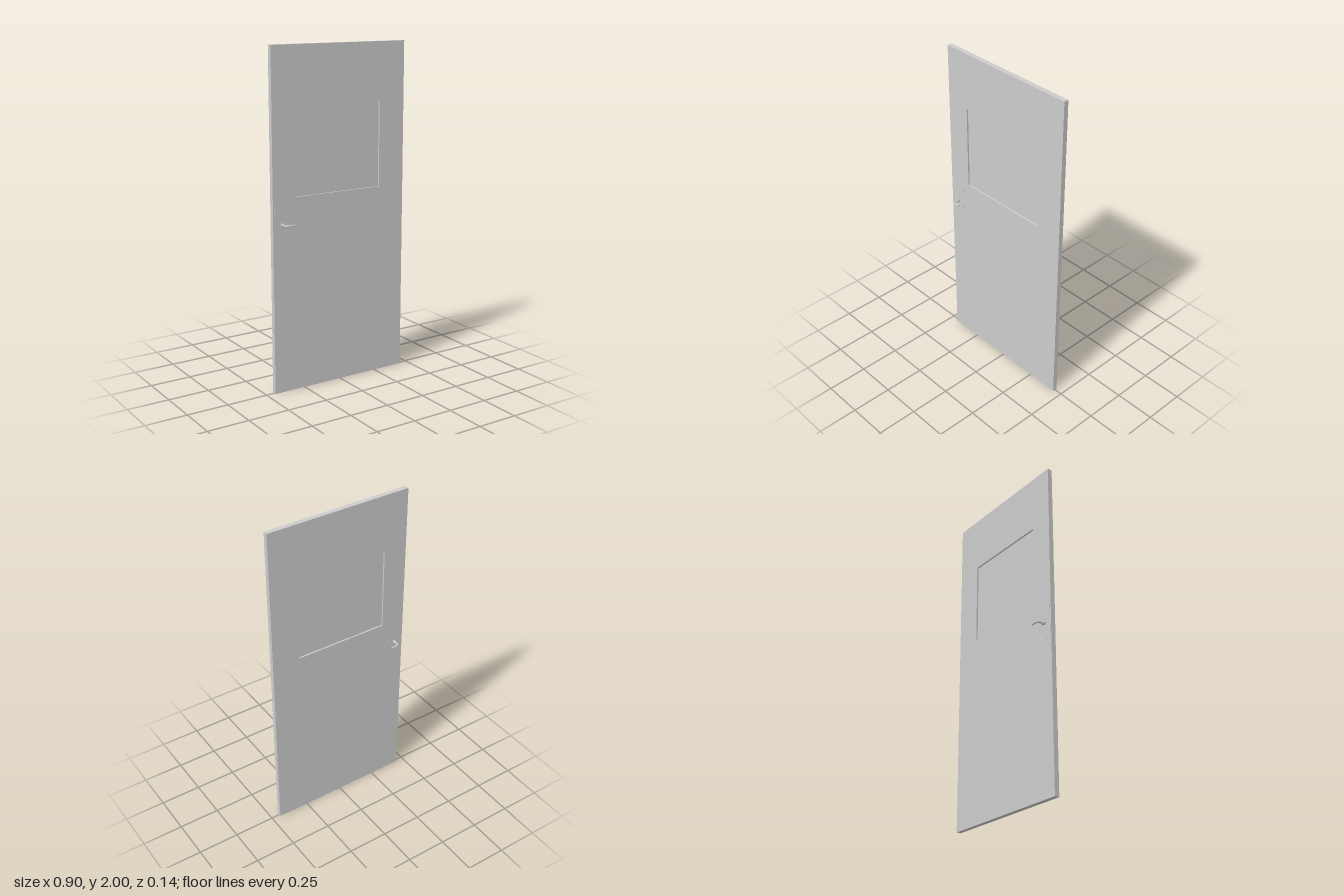
import * as THREE from 'three';

const W = 0.896, H = 2, T = 0.029;
const HANDLE_X = -0.39, HANDLE_Y = 1;

export function createModel() {
  const door = new THREE.Group();
  door.name = 'door';
  const grey = new THREE.MeshStandardMaterial({ color: 0xcccccc });

  const add = (parent, name, geometry, x = 0, y = 0, z = 0) => {
    const mesh = new THREE.Mesh(geometry, grey);
    mesh.name = name;
    mesh.position.set(x, y, z);
    parent.add(mesh);
    return mesh;
  };

  const rect = (Type, x0, y0, x1, y1) => new Type([
    new THREE.Vector2(x0, y0), new THREE.Vector2(x1, y0),
    new THREE.Vector2(x1, y1), new THREE.Vector2(x0, y1),
  ]);

  // Door leaf with the window opening cut through
  const win = { x0: -0.30, x1: 0.275, y0: 1.15, y1: 1.657 };
  const leaf = rect(THREE.Shape, -W / 2, 0, W / 2, H);
  leaf.holes.push(rect(THREE.Path, win.x0, win.y0, win.x1, win.y1));
  add(door, 'doorLeaf', new THREE.ExtrudeGeometry(leaf, { depth: T, bevelEnabled: false }), 0, 0, -T / 2);

  // Recessed pane
  add(door, 'windowPane', new THREE.BoxGeometry(win.x1 - win.x0, win.y1 - win.y0, 0.01),
    (win.x0 + win.x1) / 2, (win.y0 + win.y1) / 2, 0);

  // Collar profile (radius, distance out from the door face)
  const collarProfile = [[0, 0], [0.01, 0], [0.01, 0.015], [0.008, 0.018], [0, 0.018]]
    .map(([r, d]) => new THREE.Vector2(r, d));

  // Lever path: straight out, rounded bend, then along the door
  const reach = 0.0625 - T / 2, bend = 0.014;
  const path = new THREE.CurvePath();
  const v = (x, z) => new THREE.Vector3(x, 0, z);
  path.add(new THREE.LineCurve3(v(0, 0), v(0, reach - bend)));
  path.add(new THREE.QuadraticBezierCurve3(v(0, reach - bend), v(0.001, reach - 0.001), v(bend, reach)));
  path.add(new THREE.LineCurve3(v(bend, reach), v(0.05, reach)));

  // Plate, collar and lever on each face
  for (const side of [1, -1]) {
    const set = new THREE.Group();
    set.name = side > 0 ? 'frontHandle' : 'backHandle';
    set.position.set(HANDLE_X, HANDLE_Y, side * T / 2);
    door.add(set);

    add(set, 'plate', new THREE.BoxGeometry(0.1, 0.2, 0.002), 0, 0, 0);

    const collar = add(set, 'collar', new THREE.LatheGeometry(collarProfile, 20));
    collar.rotation.x = side * Math.PI / 2;

    // Turning half round the x axis mirrors the lever onto the back
    const lever = new THREE.Group();
    lever.name = 'lever';
    lever.rotation.x = side > 0 ? 0 : Math.PI;
    set.add(lever);
    add(lever, 'leverBar', new THREE.TubeGeometry(path, 48, 0.0055, 12, false));
    const cap = add(lever, 'leverEnd', new THREE.CircleGeometry(0.0055, 12), 0.05, 0, reach);
    cap.rotation.y = Math.PI / 2;
  }

  return door;
}
